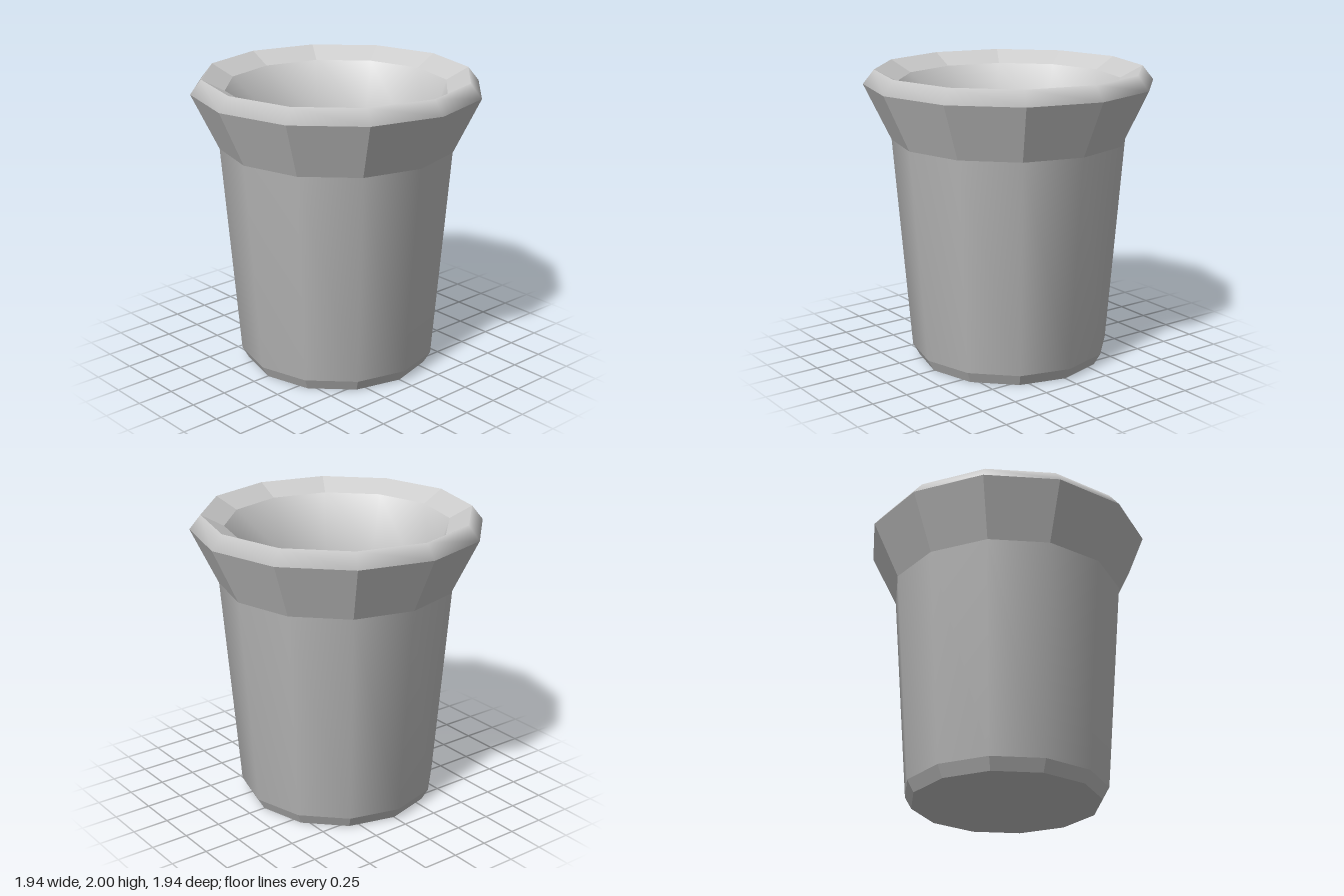
import * as THREE from 'three';

const SIDES = 12;
const material = new THREE.MeshStandardMaterial({ color: 0xcccccc });

// Cross-section [radius, height]: up the outside, over the rim, down the inside
const profile = [
  [0, 0], [0.63, 0], [0.675, 0.08], [0.79, 1.53], [0.97, 1.905],
  [0.895, 2], [0.745, 1.92], [0.63, 1.53], [0.52, 0.13], [0, 0.13],
].map(([r, y]) => new THREE.Vector2(r, y));

// One band per step of the cross-section: [name, smooth]
const bands = [
  ['base', false], ['baseBevel', false], ['body', true], ['flaredCollar', false],
  ['rim', true], ['innerLip', false], ['innerFlare', true], ['innerWall', true], ['floor', false],
];

// Outward direction of the cross-section between points i and i + 1
function stepNormal(i) {
  const d = profile[i + 1].clone().sub(profile[i]).normalize();
  return new THREE.Vector2(d.y, -d.x);
}

// Soft normal at point i, halfway between the two steps that meet there
function ringNormal(i) {
  return stepNormal(i - 1).add(stepNormal(i)).normalize();
}

function makeBand(name, smooth, i) {
  let geometry = new THREE.LatheGeometry([profile[i], profile[i + 1]], SIDES);
  if (smooth) {
    const rings = [ringNormal(i), ringNormal(i + 1)];
    for (let v = 0; v < geometry.attributes.normal.count; v++) {
      const angle = Math.floor(v / 2) * 2 * Math.PI / SIDES;
      const n = rings[v % 2];
      geometry.attributes.normal.setXYZ(v, n.x * Math.sin(angle), n.y, n.x * Math.cos(angle));
    }
  } else {
    geometry = geometry.toNonIndexed();
    geometry.computeVertexNormals();
  }
  const mesh = new THREE.Mesh(geometry, material);
  mesh.name = name;
  return mesh;
}

export function createModel() {
  const cup = new THREE.Group();
  cup.name = 'cup';
  bands.forEach(([name, smooth], i) => cup.add(makeBand(name, smooth, i)));
  return cup;
}
